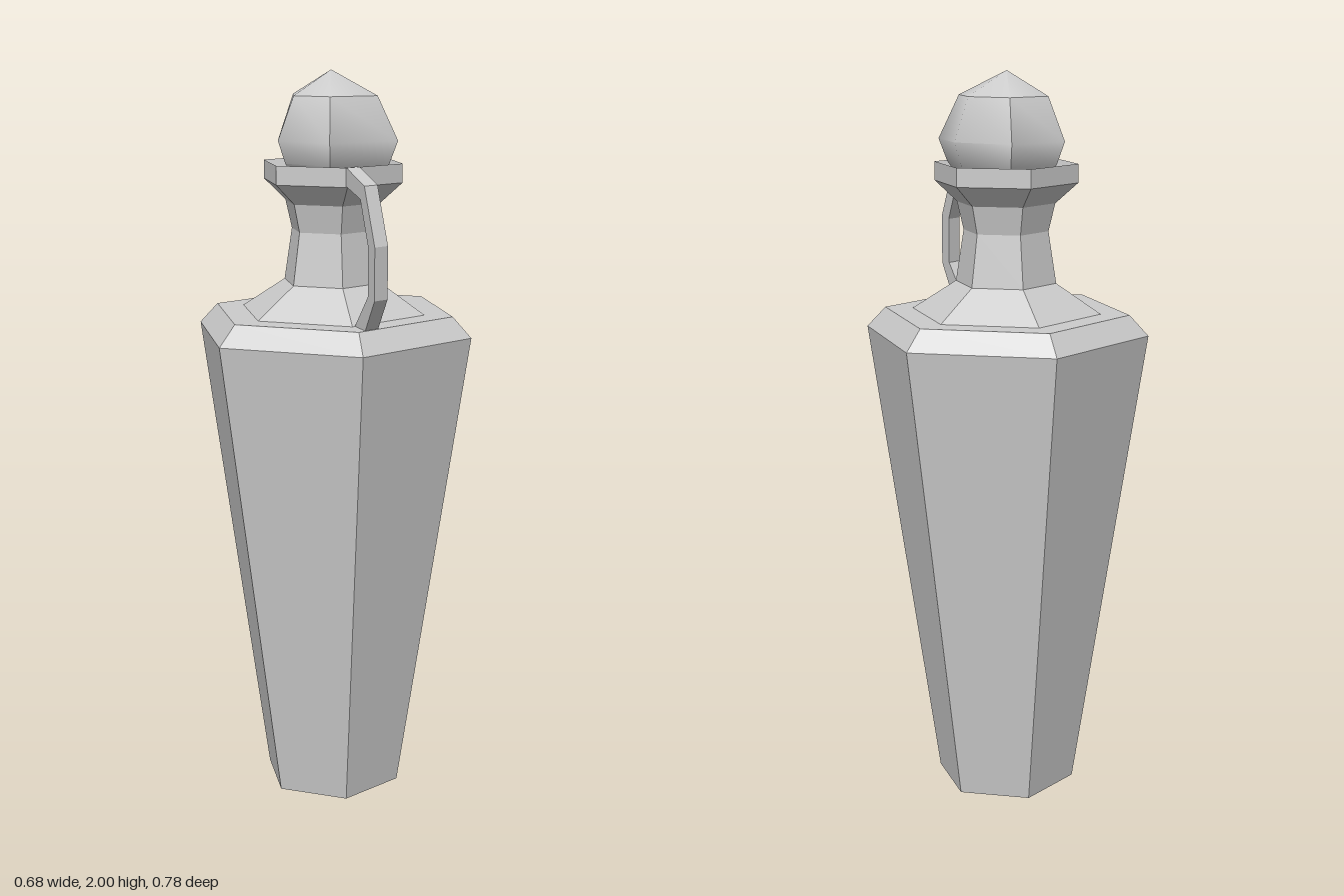
import * as THREE from 'three';
import { toCreasedNormals } from 'three/addons/utils/BufferGeometryUtils.js';

const grey = (options = {}) => new THREE.MeshStandardMaterial({ color: 0xcccccc, ...options });

function part(name, geometry, material) {
  const mesh = new THREE.Mesh(geometry, material);
  mesh.name = name;
  return mesh;
}

// Closed skin over rings of [x, y, z] points; a one-point ring is a tip
function loft(rings) {
  const positions = [];
  for (let r = 0; r < rings.length - 1; r++) {
    const low = rings[r], high = rings[r + 1];
    const n = Math.max(low.length, high.length);
    for (let i = 0; i < n; i++) {
      const j = (i + 1) % n;
      if (low.length > 1) positions.push(...low[i], ...high[i % high.length], ...low[j]);
      if (high.length > 1) positions.push(...low[j % low.length], ...high[i], ...high[j]);
    }
  }
  const geometry = new THREE.BufferGeometry();
  geometry.setAttribute('position', new THREE.Float32BufferAttribute(positions, 3));
  geometry.computeVertexNormals();
  return geometry;
}

export function createModel() {
  const group = new THREE.Group();
  group.name = 'bottle';

  // Six-sided bottle: tapered body, stepped shoulder, neck, lip and funnel mouth
  const profile = [
    [0, 0], [0.195, 0], [0.39, 1.305], [0.338, 1.36], [0.26, 1.36],
    [0.138, 1.44], [0.116, 1.58], [0.134, 1.655], [0.195, 1.71], [0.195, 1.76],
    [0.17, 1.72], [0.11, 1.65], [0, 1.65],
  ].map(([r, y]) => new THREE.Vector2(r, y));
  const body = part('bottleBody', new THREE.LatheGeometry(profile, 6), grey({ flatShading: true }));
  body.position.x = -0.004;
  group.add(body);

  // Faceted, slightly irregular stopper; corners run anticlockwise in x, z
  const widest = [[0.039, -0.155], [0.165, -0.08], [0.126, 0.124], [-0.039, 0.159], [-0.163, 0.052], [-0.124, -0.116]];
  const crown = [[0.035, -0.105], [0.12, -0.048], [0.083, 0.085], [-0.023, 0.118], [-0.112, 0.045], [-0.083, -0.076]];
  const ring = (points, y, scale = 1) => points.map(([x, z]) => [x * scale, y, z * scale]).reverse();
  const sides = loft([[[0, 1.66, 0]], ring(widest, 1.7, 0.62), ring(widest, 1.76, 0.87), ring(widest, 1.82), ring(crown, 1.935)]);
  const cap = loft([ring(crown, 1.935), [[0, 2, 0.008]]]);
  const stopper = new THREE.Group();
  stopper.name = 'stopper';
  stopper.add(
    part('stopperSides', toCreasedNormals(sides, 0.8), grey({ side: THREE.DoubleSide })),
    part('stopperCap', toCreasedNormals(cap, 0.8), grey({ side: THREE.DoubleSide })),
  );
  group.add(stopper);

  // Angular handle from lip to shoulder, sheared so that it leans forward as it leaves the neck
  const outline = [
    [0.15, 1.76], [0.165, 1.76], [0.275, 1.725], [0.34, 1.58], [0.34, 1.445], [0.285, 1.36], [0.27, 1.34],
    [0.2, 1.34], [0.22, 1.36], [0.3, 1.45], [0.3, 1.575], [0.25, 1.69], [0.165, 1.712], [0.15, 1.712],
  ].map(([x, y]) => new THREE.Vector2(x, y));
  const width = 0.045;
  const strap = new THREE.ExtrudeGeometry(new THREE.Shape(outline), { depth: width, bevelEnabled: false });
  const p = strap.attributes.position;
  for (let i = 0; i < p.count; i++) {
    p.setZ(i, p.getZ(i) - width / 2 + 0.078 + 0.36 * (p.getX(i) - 0.165));
  }
  strap.computeVertexNormals();
  group.add(part('handle', strap, grey({ flatShading: true })));

  return group;
}
